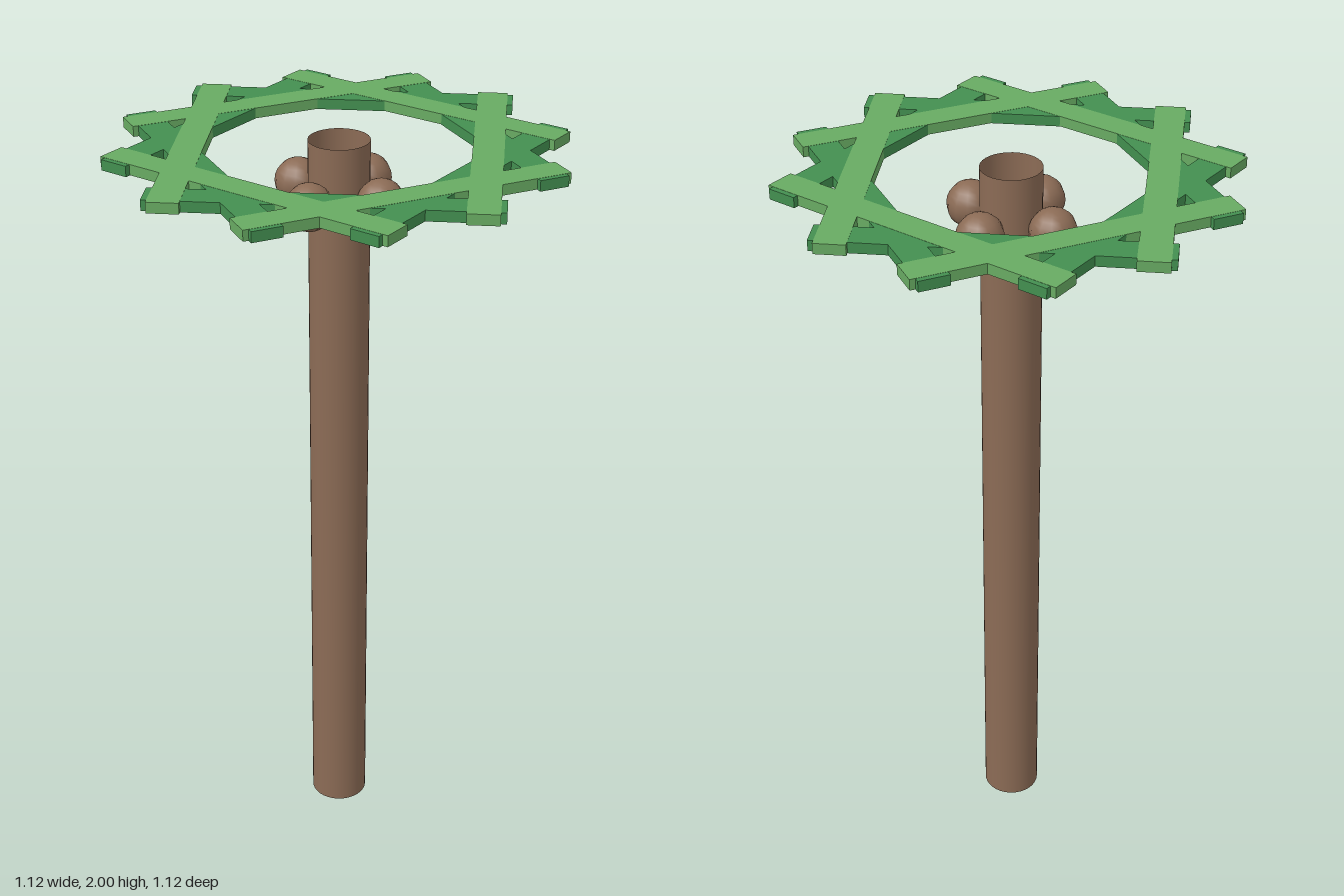
import * as THREE from 'three';

export function createModel() {
  const model = new THREE.Group();
  model.name = 'palmTree';

  const bark = new THREE.MeshStandardMaterial({ color: 0x8b6b55, side: THREE.DoubleSide });
  const darkLeaf = new THREE.MeshStandardMaterial({ color: 0x438f50 });
  const lightLeaf = new THREE.MeshStandardMaterial({ color: 0x68aa62 });

  const add = (name, geometry, material, parent = model) => {
    const mesh = new THREE.Mesh(geometry, material);
    mesh.name = name;
    parent.add(mesh);
    return mesh;
  };

  // Trunk: a hollow tube, open at both ends
  add('trunk', new THREE.CylinderGeometry(0.077, 0.077, 2, 32, 1, true), bark).position.y = 1;

  // Four coconuts around the top of the trunk
  const coconut = new THREE.SphereGeometry(0.06, 12, 12);
  for (let i = 0; i < 4; i++) {
    const a = (i * Math.PI) / 2;
    add('coconut', coconut, bark).position.set(0.125 * Math.sin(a), 1.865, 0.125 * Math.cos(a));
  }

  // Crown: twelve flat slats set tangent to a circle, alternating in colour
  const crown = new THREE.Group();
  crown.name = 'leafCrown';
  model.add(crown);
  const slat = new THREE.BoxGeometry(0.83, 0.027, 0.077);
  for (let i = 0; i < 12; i++) {
    const a = (i * Math.PI) / 6;
    const light = i % 2 === 1;
    const mesh = add('leaf', slat, light ? lightLeaf : darkLeaf, crown);
    // A hair of lift keeps crossing slats from flickering
    mesh.position.set(0.3625 * Math.sin(a), light ? 1.9745 : 1.974, 0.3625 * Math.cos(a));
    mesh.rotation.y = a;
  }

  return model;
}
